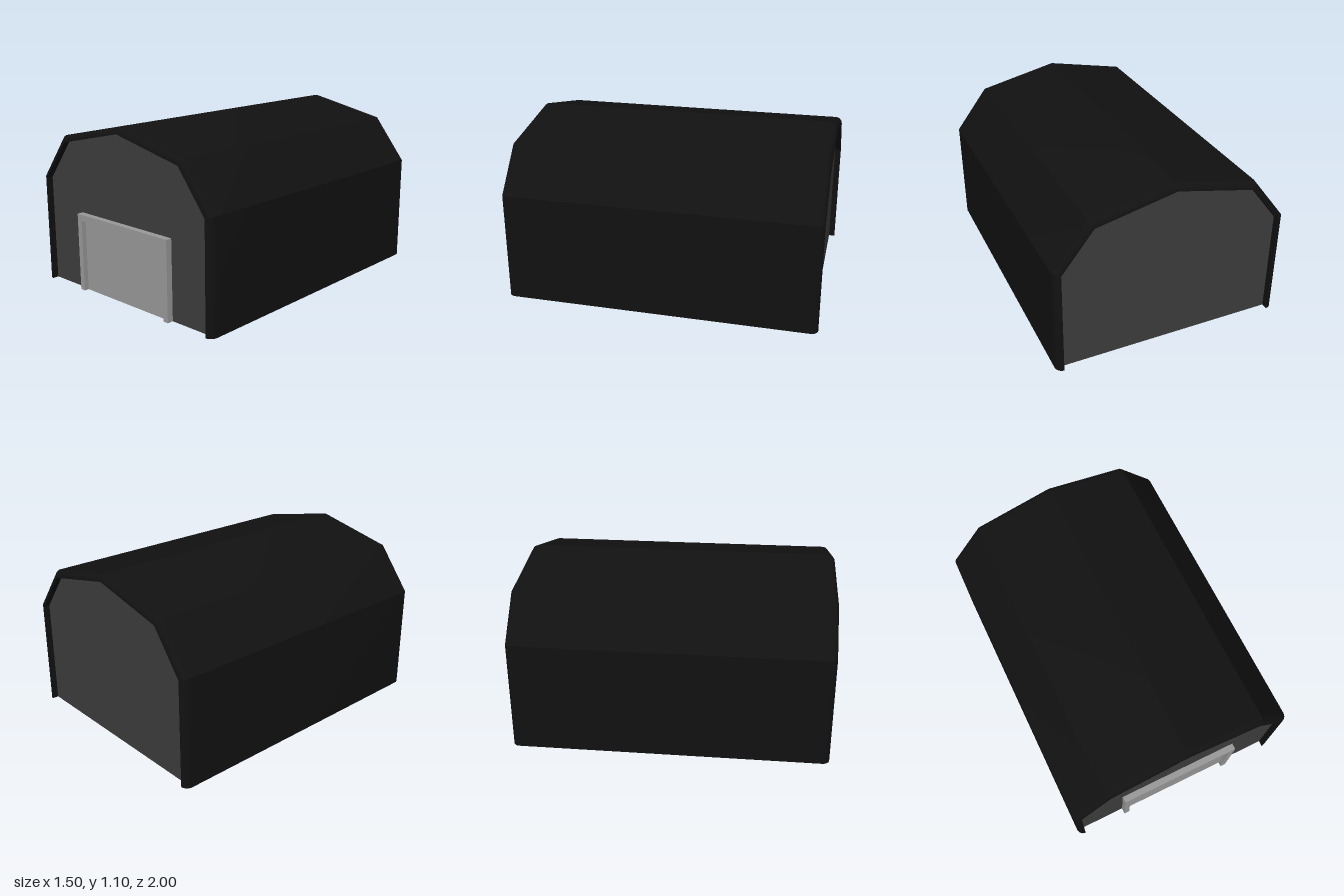
import * as THREE from 'three';
import { toCreasedNormals } from 'three/addons/utils/BufferGeometryUtils.js';

const half = 1; // half length
const round = 0.045; // rounding at both ends of the shell
const wallZ = 0.96; // end walls sit just behind the rims
const mirror = (pts) => [...pts, ...pts.slice(0, -1).reverse().map(([x, y]) => [-x, y])];
const outer = mirror([[0.75, 0], [0.75, 0.7], [0.53, 0.985], [0, 1.1]]);
const inner = mirror([[0.705, 0], [0.705, 0.687], [0.505, 0.946], [0, 1.058]]);

// Shell in section: [inset from outer profile, z], with a rounded lip at each end
function shellSection() {
  const back = [[1, round - half]];
  for (let i = 0; i <= 6; i++) {
    const a = (i / 6) * Math.PI / 2;
    back.push([1 - Math.sin(a), -(half - round) - round * Math.cos(a)]);
  }
  const front = back.map(([t, z]) => [t, -z]).reverse();
  return [...back, ...front];
}

// Thin arched shell: the section swept between the outer and inner profiles
function shellGeometry() {
  const section = shellSection();
  const n = outer.length;
  const pos = [], index = [];
  for (const [t, z] of section) {
    outer.forEach(([x, y], j) => {
      pos.push(x + (inner[j][0] - x) * t, y + (inner[j][1] - y) * t, z);
    });
  }
  for (let i = 0; i < section.length - 1; i++) {
    for (let j = 0; j < n - 1; j++) {
      const a = i * n + j, b = a + 1, c = a + n, d = c + 1;
      index.push(a, b, c, b, d, c);
    }
  }
  const geo = new THREE.BufferGeometry();
  geo.setAttribute('position', new THREE.Float32BufferAttribute(pos, 3));
  geo.setIndex(index);
  return toCreasedNormals(geo, 0.4);
}

const shapeOf = (pts) => new THREE.Shape(pts.map(([x, y]) => new THREE.Vector2(x, y)));

export function createModel() {
  const group = new THREE.Group();
  const dark = new THREE.MeshStandardMaterial({ color: 0x111111, side: THREE.DoubleSide });
  const wallGrey = new THREE.MeshStandardMaterial({ color: 0x3d3d3d, side: THREE.DoubleSide });
  const doorGrey = new THREE.MeshStandardMaterial({ color: 0x999999 });

  const add = (name, geo, mat, y = 0, z = 0) => {
    const mesh = new THREE.Mesh(geo, mat);
    mesh.name = name;
    mesh.position.set(0, y, z);
    group.add(mesh);
  };

  add('roofShell', shellGeometry(), dark);

  // Thin end walls, the front one with a doorway
  add('backWall', new THREE.ShapeGeometry(shapeOf(inner)).rotateY(Math.PI), wallGrey, 0, -wallZ);
  const doorway = [[-0.38, 0], [-0.38, 0.485], [0.38, 0.485], [0.38, 0]];
  add('frontWall', new THREE.ShapeGeometry(shapeOf([...inner, ...doorway])), wallGrey, 0, wallZ);

  // Door frame and panel
  const frame = shapeOf([
    [0.403, 0], [0.403, 0.505], [-0.403, 0.505], [-0.403, 0],
    [-0.366, 0], [-0.366, 0.464], [0.366, 0.464], [0.366, 0],
  ]);
  add('doorFrame', new THREE.ExtrudeGeometry(frame, { depth: 0.045, bevelEnabled: false }), doorGrey, 0, 0.955);
  add('doorPanel', new THREE.BoxGeometry(0.732, 0.464, 0.008), doorGrey, 0.232, 0.966);

  return group;
}
